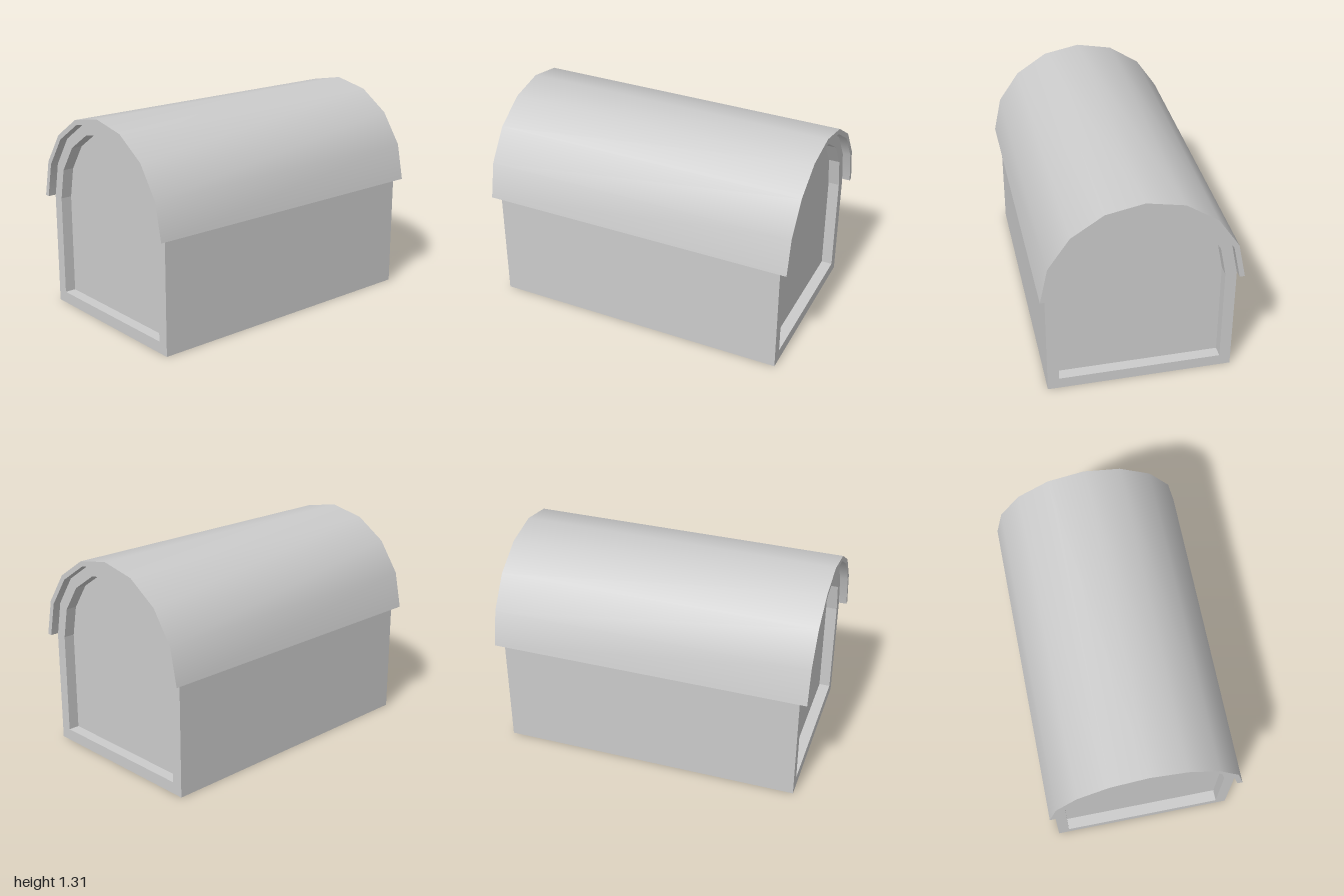
import * as THREE from 'three';
import { toCreasedNormals } from 'three/addons/utils/BufferGeometryUtils.js';

const SPRING = 0.705; // height where the arch begins
const SEGMENTS = 8;

// Points of a half-round arch, running from +x over the top to -x
function archPoints(radius, tilt = 0) {
  const points = [];
  for (let i = 0; i <= SEGMENTS; i++) {
    const a = tilt + (i / SEGMENTS) * (Math.PI - 2 * tilt);
    points.push(new THREE.Vector2(radius * Math.cos(a), SPRING + radius * Math.sin(a)));
  }
  return points;
}

// Arched outline with straight walls down to a flat bottom
function arched(radius, bottom) {
  return [new THREE.Vector2(-radius, bottom), new THREE.Vector2(radius, bottom), ...archPoints(radius)];
}

// Extrude a cross-section along the x axis, centred
function extrudeAlongX(shape, length) {
  const geometry = new THREE.ExtrudeGeometry(shape, { depth: length, bevelEnabled: false });
  geometry.translate(0, 0, -length / 2);
  geometry.rotateY(Math.PI / 2);
  return geometry;
}

export function createModel() {
  const group = new THREE.Group();
  const material = new THREE.MeshStandardMaterial({ color: 0xcccccc });

  function add(name, geometry) {
    const mesh = new THREE.Mesh(geometry, material);
    mesh.name = name;
    group.add(mesh);
    return mesh;
  }

  // Walls, floor and vault, with a rim around each end
  const bodyShape = new THREE.Shape(arched(0.573, 0));
  bodyShape.holes.push(new THREE.Path(arched(0.503, 0.073)));
  add('body', extrudeAlongX(bodyShape, 1.9));

  // Recessed end panels
  for (const side of [1, -1]) {
    const panel = add(side > 0 ? 'leftEndPanel' : 'rightEndPanel',
      new THREE.ShapeGeometry(new THREE.Shape(arched(0.503, 0.073))));
    panel.rotation.y = side * Math.PI / 2;
    panel.position.x = side * 0.88;
  }

  // Thin curved roof overhanging both ends
  const roofShape = new THREE.Shape([
    ...archPoints(0.606, 0.014),
    ...archPoints(0.574, 0.014).reverse(),
  ]);
  add('roof', toCreasedNormals(extrudeAlongX(roofShape, 2), 0.6));

  return group;
}
